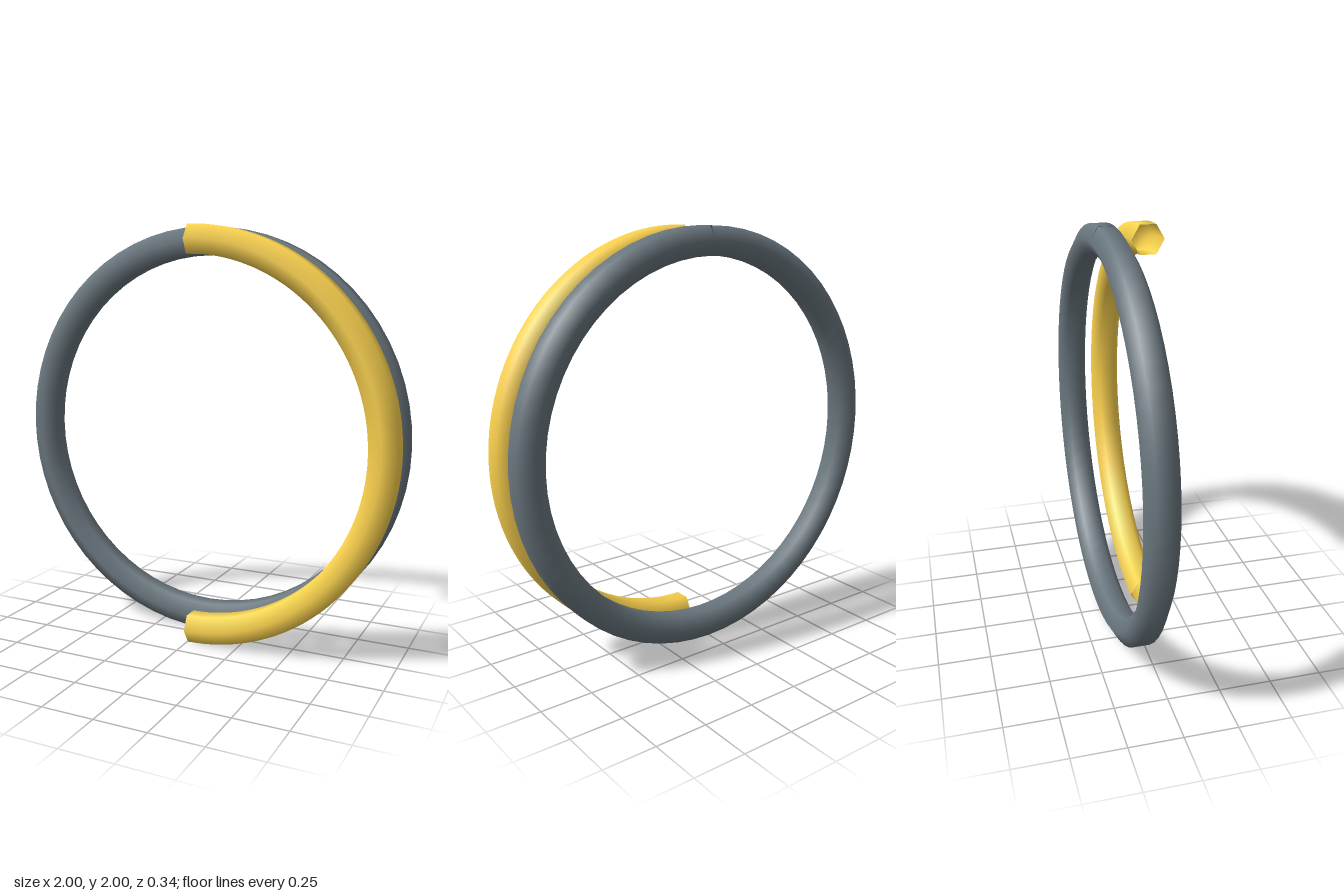
import * as THREE from 'three';

const RADIUS = 0.9335; // centre line of both rings
const TUBE = 0.077;    // corner radius of the six-sided section

// Open-ended hexagonal tube along an arc that starts at the top and runs clockwise
function arcTube(name, sweep, points, segments, z, color) {
  const path = [];
  for (let i = 0; i <= points; i++) {
    const a = Math.PI / 2 - (sweep * i) / points;
    path.push(new THREE.Vector3(RADIUS * Math.cos(a), RADIUS * Math.sin(a), 0));
  }
  const curve = new THREE.CatmullRomCurve3(path);
  const mesh = new THREE.Mesh(
    new THREE.TubeGeometry(curve, segments, TUBE, 6, false),
    new THREE.MeshStandardMaterial({ color, side: THREE.DoubleSide })
  );
  mesh.name = name;
  mesh.position.set(0, 1, z);
  return mesh;
}

export function createModel() {
  const group = new THREE.Group();
  group.name = 'progressRing';

  // Full grey ring behind
  group.add(arcTube('backRing', Math.PI * 2, 64, 64, -0.095, 0x6b7880));

  // Yellow half ring in front, on the +x side
  group.add(arcTube('frontHalfRing', Math.PI, 32, 64, 0.095, 0xffd54f));

  return group;
}
